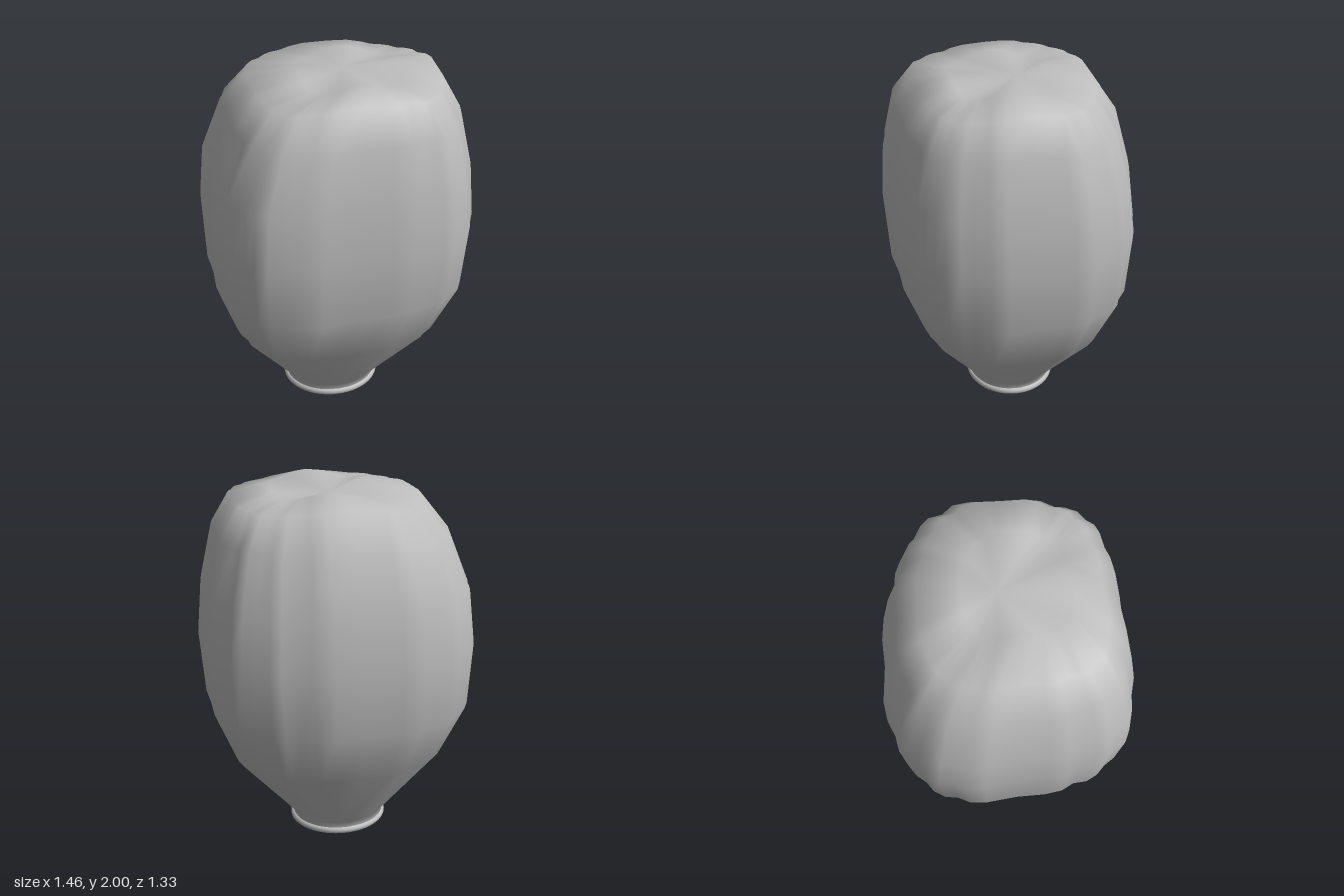
import * as THREE from 'three';

// Crumpled girth outline (x, z), anticlockwise from above
const OUTLINE = [
  [0.71, 0], [0.725, -0.17], [0.715, -0.27], [0.66, -0.335], [0.645, -0.42], [0.6, -0.47], [0.53, -0.5],
  [0.48, -0.55], [0.42, -0.575], [0.34, -0.585], [0.27, -0.625], [0.16, -0.655], [0, -0.65], [-0.2, -0.67],
  [-0.31, -0.655], [-0.395, -0.62], [-0.48, -0.605], [-0.54, -0.565], [-0.585, -0.51], [-0.64, -0.475],
  [-0.68, -0.41], [-0.69, -0.335], [-0.725, -0.265], [-0.73, -0.17], [-0.71, 0], [-0.715, 0.16],
  [-0.705, 0.26], [-0.67, 0.33], [-0.67, 0.41], [-0.64, 0.475], [-0.59, 0.525], [-0.55, 0.59],
  [-0.485, 0.62], [-0.395, 0.63], [-0.31, 0.655], [-0.2, 0.66], [0, 0.64], [0.16, 0.645], [0.27, 0.63],
  [0.34, 0.605], [0.44, 0.59], [0.5, 0.565], [0.54, 0.515], [0.6, 0.475], [0.635, 0.4], [0.645, 0.34],
  [0.69, 0.265], [0.71, 0.17],
];

// y, half width x, centre x, half depth z, centre z, roundness, drop at the corners
const LEVELS = [
  [0.03, 0.262, -0.04, 0.243, -0.01, 1, 0],
  [0.07, 0.265, -0.04, 0.245, -0.01, 1, 0],
  [0.5, 0.6, -0.02, 0.535, 0, 0.45, 0],
  [0.81, 0.71, -0.01, 0.648, 0, 0.12, 0],
  [1.17, 0.728, 0, 0.665, 0, 0, 0],
  [1.47, 0.7, 0, 0.635, 0.01, 0, 0],
  [1.77, 0.61, 0.02, 0.565, 0.025, 0, 0.01],
  [1.95, 0.495, 0.035, 0.455, 0.035, 0, 0.03],
  [2.0, 0.275, 0.055, 0.265, 0.06, 0, 0.045],
];

// Paper bag lofted from the ring at the mouth up to the sagging crown
function envelopeGeometry() {
  const pos = [], index = [], n = OUTLINE.length;
  for (const [y, ax, cx, az, cz, round, drop] of LEVELS) {
    for (const [px, pz] of OUTLINE) {
      const u = px / 0.728, v = pz / 0.665;
      const k = 1 + (1 / Math.hypot(u, v) - 1) * round;
      const corner = Math.sin(2 * Math.atan2(v, u)) ** 2;
      pos.push(cx + ax * u * k, y - drop * corner, cz + az * v * k);
    }
  }
  for (let i = 0; i < LEVELS.length - 1; i++) {
    for (let j = 0; j < n; j++) {
      const a = i * n + j, b = i * n + (j + 1) % n;
      index.push(a, b, b + n, a, b + n, a + n);
    }
  }
  const last = (LEVELS.length - 1) * n;
  pos.push(0.03, 1.95, -0.03);
  for (let j = 0; j < n; j++) index.push(last + j, last + (j + 1) % n, last + n);
  const g = new THREE.BufferGeometry();
  g.setAttribute('position', new THREE.Float32BufferAttribute(pos, 3));
  g.setIndex(index);
  g.computeVertexNormals();
  return g;
}

export function createModel() {
  const model = new THREE.Group();
  const paper = new THREE.MeshStandardMaterial({ color: 0xbcbcbc, side: THREE.DoubleSide });
  paper.name = 'plain grey';
  const add = (parent, name, geometry, x = 0, y = 0, z = 0) => {
    const mesh = new THREE.Mesh(geometry, paper);
    mesh.name = name;
    mesh.position.set(x, y, z);
    parent.add(mesh);
    return mesh;
  };

  add(model, 'envelope', envelopeGeometry());

  // Frame at the mouth: hoop, crossed spokes, hub and fuel cup
  const frame = new THREE.Group();
  frame.name = 'frame';
  frame.position.set(-0.04, 0, -0.01);
  model.add(frame);
  const hoop = new THREE.TorusGeometry(0.257, 0.018, 12, 64).rotateX(Math.PI / 2);
  add(frame, 'hoop', hoop, 0, 0.02).scale.set(1.01, 1.1, 0.93);
  add(frame, 'spokeAcross', new THREE.CylinderGeometry(0.008, 0.008, 0.51, 8).rotateZ(Math.PI / 2), 0, 0.02);
  add(frame, 'spokeAlong', new THREE.CylinderGeometry(0.008, 0.008, 0.47, 8).rotateX(Math.PI / 2), 0, 0.02);
  add(frame, 'hub', new THREE.CylinderGeometry(0.055, 0.055, 0.035, 24), 0, 0.0225);
  add(frame, 'fuelCup', new THREE.CylinderGeometry(0.085, 0.085, 0.08, 24), 0, 0.12);
  add(frame, 'cupStem', new THREE.CylinderGeometry(0.025, 0.025, 0.05, 12), 0, 0.06);
  return model;
}
